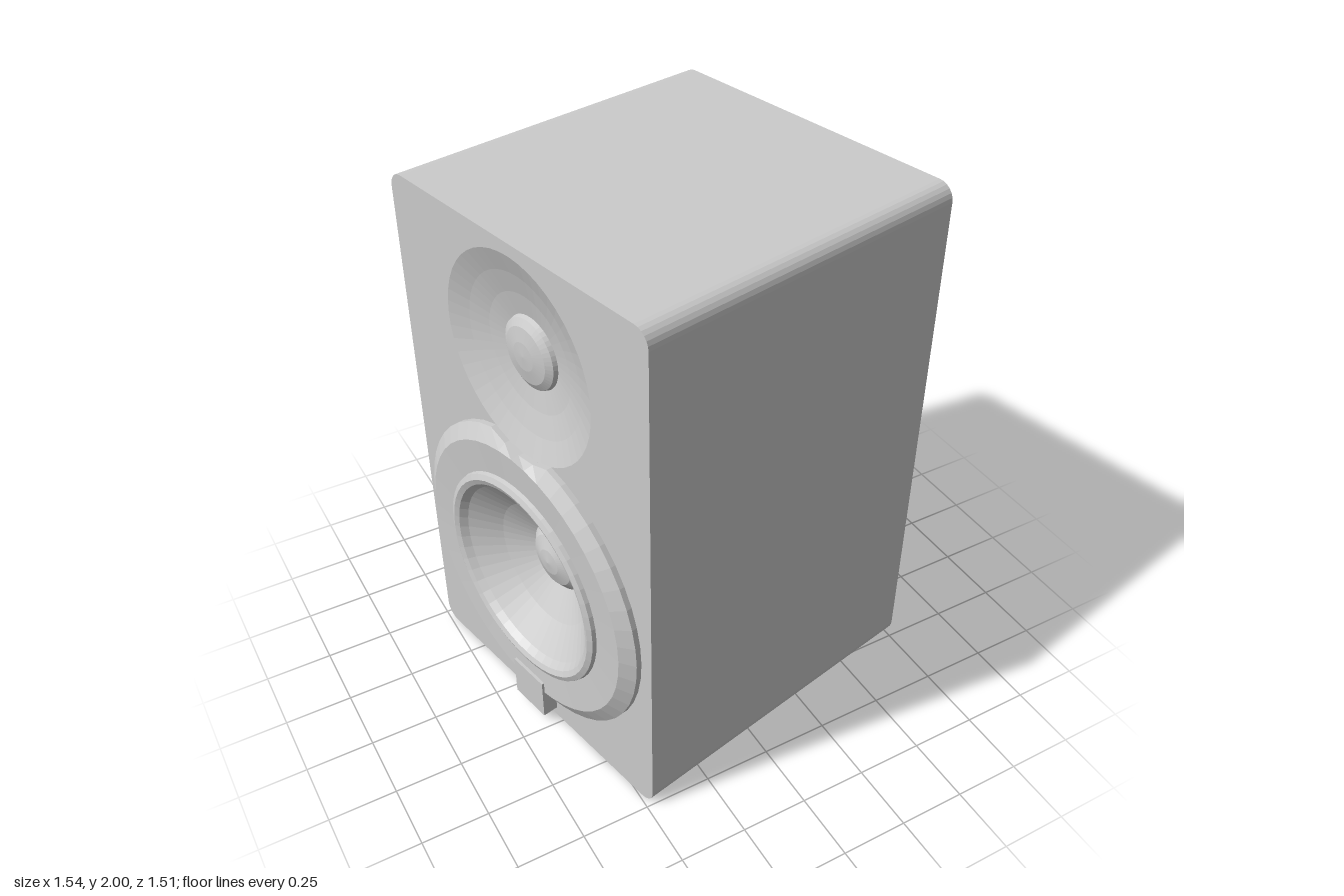
import * as THREE from 'three';

const W = 1.27, H = 2, D = 1.27, SLAB = 0.3, CORNER = 0.06;
const WOOFER_Y = 0.685, TWEETER_Y = 1.585, TWEETER_R = 0.37;

const grey = (opts = {}) => new THREE.MeshStandardMaterial({ color: 0xcccccc, ...opts });

function add(parent, name, geometry, material) {
  const mesh = new THREE.Mesh(geometry, material);
  mesh.name = name;
  parent.add(mesh);
  return mesh;
}

// Rectangle with rounded corners, standing on y = 0
function cabinetOutline() {
  const w = W / 2, r = CORNER, s = new THREE.Shape();
  s.moveTo(-w + r, 0);
  s.lineTo(w - r, 0);
  s.absarc(w - r, r, r, -Math.PI / 2, 0);
  s.lineTo(w, H - r);
  s.absarc(w - r, H - r, r, 0, Math.PI / 2);
  s.lineTo(-w + r, H);
  s.absarc(-w + r, H - r, r, Math.PI / 2, Math.PI);
  s.lineTo(-w, r);
  s.absarc(-w + r, r, r, Math.PI, Math.PI * 1.5);
  return s;
}

function roundHole(y, r) {
  const pts = [];
  for (let i = 0; i < 48; i++) {
    const a = -i / 48 * Math.PI * 2;
    pts.push(new THREE.Vector2(r * Math.sin(a), y + r * Math.cos(a)));
  }
  return new THREE.Path(pts);
}

// Turned part facing +z; the profile is [radius, height] pairs
function turned(profile, y) {
  const g = new THREE.LatheGeometry(profile.map(p => new THREE.Vector2(...p)), 48);
  return g.rotateX(Math.PI / 2).translate(0, y, 0);
}

export function createModel() {
  const model = new THREE.Group();
  model.name = 'speaker';
  const box = grey();
  const round = grey({ flatShading: true, side: THREE.DoubleSide });

  // Cabinet: solid body and a front baffle with driver openings
  const body = new THREE.ExtrudeGeometry(cabinetOutline(), { depth: D - SLAB, bevelEnabled: false, curveSegments: 3 });
  add(model, 'cabinet', body, box).position.z = -D / 2;
  const front = cabinetOutline();
  front.holes.push(roundHole(WOOFER_Y, 0.4), roundHole(TWEETER_Y, TWEETER_R));
  const baffle = new THREE.ExtrudeGeometry(front, { depth: SLAB, bevelEnabled: false, curveSegments: 3 });
  add(model, 'frontBaffle', baffle, box).position.z = D / 2 - SLAB;

  const drivers = new THREE.Group();
  drivers.name = 'drivers';
  drivers.position.z = D / 2;
  model.add(drivers);

  // Woofer frame, notched where it meets the tweeter
  const frame = turned([[0.585, 0], [0.585, 0.02], [0.53, 0.052], [0.405, 0.045]], WOOFER_Y);
  const p = frame.attributes.position;
  for (let i = 0; i < p.count; i++) {
    const x = p.getX(i), y = p.getY(i);
    if (Math.hypot(x, y - TWEETER_Y) < TWEETER_R) {
      p.setY(i, TWEETER_Y - Math.sqrt(TWEETER_R ** 2 - x * x));
    }
  }
  add(drivers, 'wooferFrame', frame, round);
  add(drivers, 'wooferSurround', turned([[0.41, 0.04], [0.405, 0.06], [0.385, 0.068], [0.365, 0.06], [0.345, 0.035]], WOOFER_Y), round);
  add(drivers, 'wooferCone', turned([[0.345, 0.035], [0.24, -0.045], [0.13, -0.11]], WOOFER_Y), round);
  add(drivers, 'dustCap', turned([[0.13, -0.11], [0.1, -0.085], [0.05, -0.068], [0, -0.062]], WOOFER_Y), round);

  // Tweeter: shallow recessed waveguide and dome
  add(drivers, 'waveguide', turned([[TWEETER_R, 0], [0.29, -0.028], [0.21, -0.05], [0.13, -0.065]], TWEETER_Y), round);
  add(drivers, 'tweeterDome', turned([[0.13, -0.065], [0.125, -0.05], [0.1, -0.036], [0.05, -0.027], [0, -0.024]], TWEETER_Y), round);

  // Small badge block below the woofer
  add(drivers, 'frontBlock', new THREE.BoxGeometry(0.17, 0.17, 0.06), box).position.set(0, 0.125, 0.03);

  // The whole speaker is turned to one side
  model.rotation.y = THREE.MathUtils.degToRad(-78);
  model.position.set(0.011, 0, -0.002);
  const root = new THREE.Group();
  root.name = 'model';
  root.add(model);
  return root;
}
